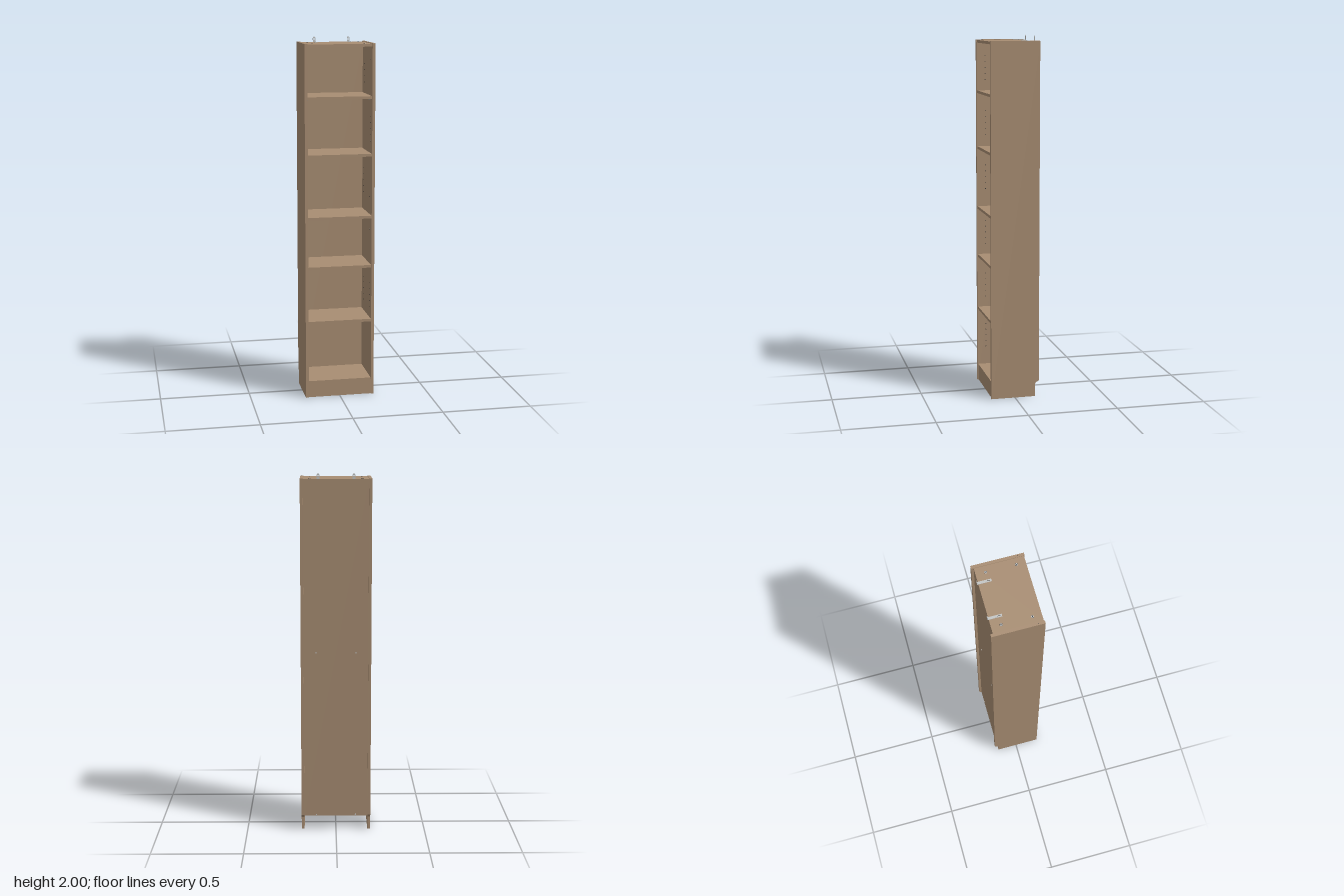
import * as THREE from 'three';

export function createModel() {
  const group = new THREE.Group();
  group.name = 'bookcase';
  const wood = new THREE.MeshStandardMaterial({ name: 'wood', color: 0xa88d72 });
  const metal = new THREE.MeshStandardMaterial({ name: 'metal', color: 0xc3c5c4 });
  const dark = new THREE.MeshStandardMaterial({ name: 'darkRecess', color: 0x3c3a38 });

  const add = (name, geo, mat, x = 0, y = 0, z = 0, parent = group) => {
    const m = new THREE.Mesh(geo, mat);
    m.name = name;
    m.position.set(x, y, z);
    parent.add(m);
    return m;
  };
  // box given by its limits on each axis
  const box = (name, mat, [x0, x1], [y0, y1], [z0, z1], parent) =>
    add(name, new THREE.BoxGeometry(x1 - x0, y1 - y0, z1 - z0), mat,
      (x0 + x1) / 2, (y0 + y1) / 2, (z0 + z1) / 2, parent);
  // small round head whose axis points along x, y or z
  const disc = (name, mat, r, h, axis, x, y, z, parent) => {
    const geo = new THREE.CylinderGeometry(r, r, h, 16);
    if (axis === 'x') geo.rotateZ(Math.PI / 2);
    if (axis === 'z') geo.rotateX(Math.PI / 2);
    return add(name, geo, mat, x, y, z, parent);
  };

  // side panels, notched at the lower back for a skirting board
  const outer = 0.194, inner = 0.178, front = 0.135, back = -0.137;
  const profile = new THREE.Shape([
    [-front, 0], [0.115, 0], [0.115, 0.07], [0.121, 0.08], [-back, 0.09],
    [-back, 1.974], [-front, 1.974],
  ].map(([z, y]) => new THREE.Vector2(z, y)));
  const sideGeo = new THREE.ExtrudeGeometry(profile, { depth: outer - inner, bevelEnabled: false });
  sideGeo.rotateY(Math.PI / 2);
  add('leftSidePanel', sideGeo, wood, inner);
  add('rightSidePanel', sideGeo, wood, -outer);

  // top, plinth and back
  const span = [-inner, inner];
  box('topPanel', wood, span, [1.956, 1.971], [-0.118, 0.131]);
  box('plinth', wood, span, [0, 0.08], [0.113, 0.129]);
  box('backPanel', wood, span, [0.08, 1.971], [-0.124, -0.118]);

  // shelves, the loose ones resting on pegs
  [0.08, 0.425, 0.736, 1.015, 1.36, 1.675].forEach((y, i) => {
    const fixed = i === 0 || i === 3;
    const gap = fixed ? 0 : 0.001;
    box('shelf', wood, [-inner + gap, inner - gap], [y, y + 0.015], [-0.118, 0.131]);
    for (const s of [-1, 1]) {
      if (fixed) disc('backScrew', metal, 0.004, 0.002, 'z', s * 0.11, y + 0.0075, -0.1245);
      else for (const z of [-0.075, 0.085])
        disc('shelfPeg', metal, 0.003, 0.012, 'x', s * (inner - 0.005), y - 0.003, z);
    }
  });

  // peg holes in the inner faces of the sides
  for (const base of [0.2, 0.5, 0.81, 1.13, 1.44, 1.75])
    for (let k = 0; k < 5; k++)
      for (const s of [-1, 1])
        for (const z of [-0.075, 0.085])
          disc('pegHole', dark, 0.0025, 0.0008, 'x', s * inner, base + k * 0.034, z);

  for (const s of [-1, 1]) {
    // connecting fasteners in the top
    for (const z of [-0.073, 0.083]) {
      const cam = new THREE.Group();
      cam.name = 'camFastener';
      cam.position.set(s * 0.143, 1.971, z);
      cam.rotation.y = 0.4;
      group.add(cam);
      disc('camRim', dark, 0.0078, 0.001, 'y', 0, 0, 0, cam);
      disc('camHead', metal, 0.0068, 0.0016, 'y', 0, 0, 0, cam);
      box('camSlot', dark, [-0.005, 0.005], [0, 0.0011], [-0.0009, 0.0009], cam);
      box('camSlot', dark, [-0.0009, 0.0009], [0, 0.0011], [-0.005, 0.005], cam);
    }
    disc('dowelHole', dark, 0.002, 0.001, 'y', s * 0.186, 1.974, 0.1);

    // wall bracket: flat foot, upright tab and two screws
    const bracket = new THREE.Group();
    bracket.name = 'wallBracket';
    bracket.position.set(s * 0.096, 1.971, 0);
    group.add(bracket);
    box('bracketFoot', metal, [-0.007, 0.007], [0, 0.002], [-0.13, -0.056], bracket);
    const tab = new THREE.Shape();
    tab.moveTo(-0.007, 0);
    tab.lineTo(0.007, 0);
    tab.lineTo(0.007, 0.022);
    tab.absarc(0, 0.022, 0.007, 0, Math.PI, false);
    const slot = new THREE.Path();
    slot.absarc(0, 0.019, 0.0025, 0, Math.PI, false);
    slot.absarc(0, 0.011, 0.0025, Math.PI, Math.PI * 2, false);
    tab.holes.push(slot);
    add('bracketTab', new THREE.ExtrudeGeometry(tab, { depth: 0.002, bevelEnabled: false, curveSegments: 8 }),
      metal, 0, 0, -0.13, bracket);
    disc('bracketScrew', metal, 0.0045, 0.004, 'y', 0, 0.002, -0.086, bracket);
    box('screwSlot', dark, [-0.003, 0.003], [0.0038, 0.0044], [-0.0867, -0.0853], bracket);
    box('footSlot', dark, [-0.0012, 0.0012], [0.0018, 0.0024], [-0.078, -0.063], bracket);
  }
  return group;
}
